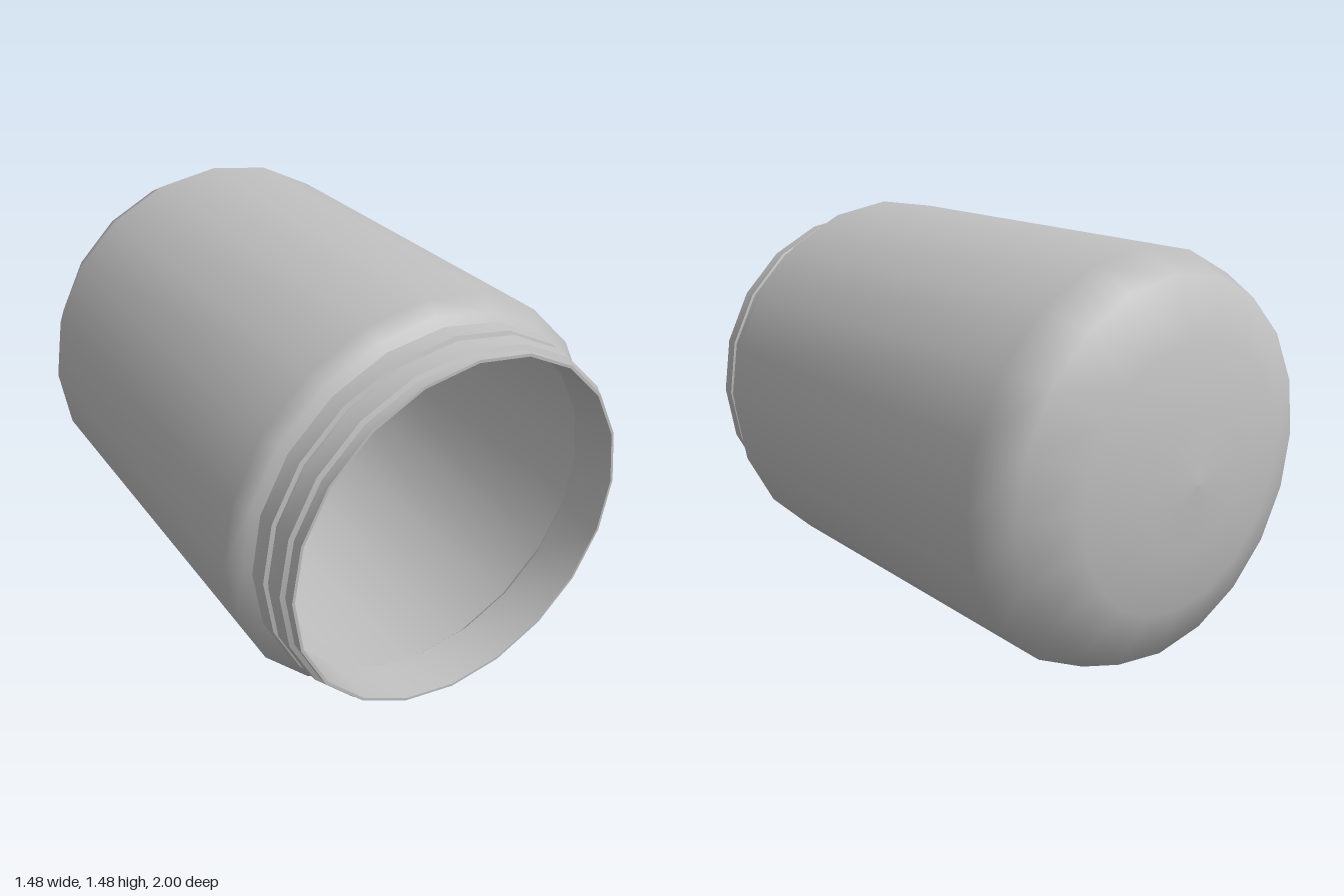
import * as THREE from 'three';
import { toCreasedNormals } from 'three/addons/utils/BufferGeometryUtils.js';

const SIDES = 20;
const AXIS_Y = 0.74; // height of the jar's axis as it lies on its side

export function createModel() {
  const group = new THREE.Group();
  group.name = 'jar';
  const grey = new THREE.MeshStandardMaterial({ color: 0xc0c0c0, side: THREE.DoubleSide });
  grey.name = 'grey';

  // Turn a [radius, z] profile around the z axis
  const turn = (profile) => new THREE.LatheGeometry(
    profile.map(([r, z]) => new THREE.Vector2(r, z)), SIDES).rotateX(Math.PI / 2);

  const add = (name, geometry) => {
    const mesh = new THREE.Mesh(geometry, grey);
    mesh.name = name;
    mesh.position.y = AXIS_Y;
    group.add(mesh);
  };

  // Domed base, straight wall and shoulder
  add('body', turn([
    [0, -1], [0.24, -0.986], [0.47, -0.945], [0.67, -0.87], [0.74, -0.72],
    [0.74, 0.74], [0.695, 0.782], [0.665, 0.805],
  ]));

  // Neck, flat lip and inner face of the mouth
  add('neck', toCreasedNormals(turn([
    [0.665, 0.805], [0.655, 0.9], [0.645, 0.975], [0.645, 1],
    [0.635, 1], [0.635, 0.82], [0.66, 0.8],
  ]), 0.6));

  // Two slightly slanted screw ridges
  [[0.678, 0.852], [0.668, 0.935]].forEach(([r, z], i) => {
    const ridge = turn([
      [0.645, z - 0.042], [r, z - 0.03], [r - 0.006, z + 0.028], [0.64, z + 0.038],
    ]);
    const p = ridge.attributes.position;
    for (let k = 0; k < p.count; k++) p.setZ(k, p.getZ(k) + 0.012 * p.getX(k));
    add('threadRidge' + (i + 1), toCreasedNormals(ridge, 0.6));
  });

  return group;
}
